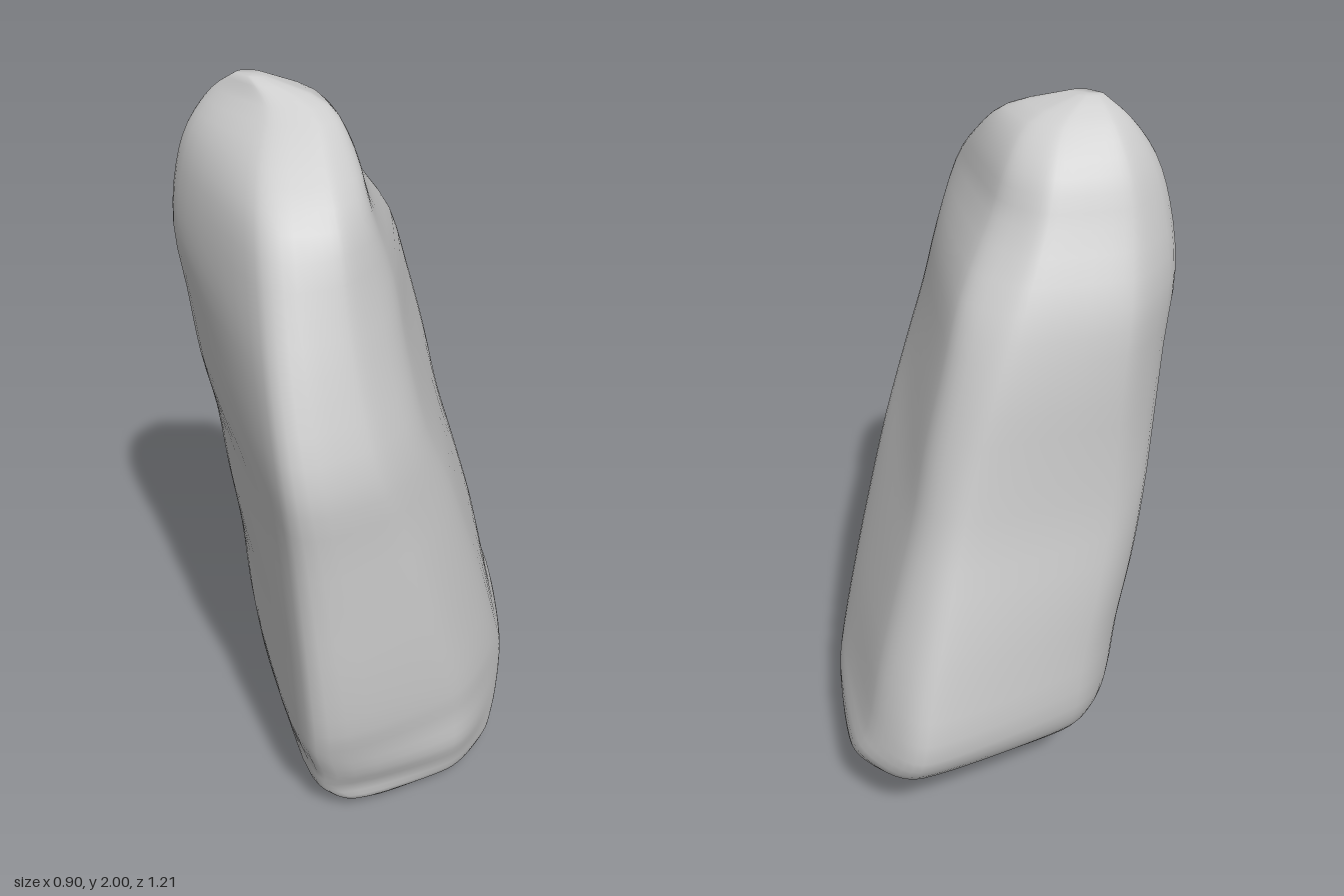
import * as THREE from 'three';

// Height, then x range and z range of the stone at that height
const LEVELS = [
  [0.0, 0.21, 0.33, -0.08, 0.1],
  [0.02, 0.13, 0.385, -0.14, 0.28],
  [0.06, 0.01, 0.435, -0.22, 0.4],
  [0.12, -0.15, 0.447, -0.31, 0.44],
  [0.2, -0.27, 0.45, -0.43, 0.47],
  [0.3, -0.325, 0.448, -0.565, 0.51],
  [0.4, -0.35, 0.442, -0.605, 0.535],
  [0.6, -0.37, 0.412, -0.57, 0.555],
  [0.8, -0.4, 0.378, -0.51, 0.565],
  [1.0, -0.42, 0.34, -0.445, 0.58],
  [1.2, -0.43, 0.295, -0.4, 0.6],
  [1.4, -0.44, 0.237, -0.355, 0.55],
  [1.58, -0.452, 0.19, -0.29, 0.48],
  [1.75, -0.425, 0.14, -0.185, 0.4],
  [1.86, -0.385, 0.075, -0.125, 0.28],
  [1.95, -0.32, -0.01, -0.03, 0.15],
  [2.0, -0.25, -0.17, 0.05, 0.1],
];

// Outline corners as fractions of the ranges: front ridge, right ridge,
// right side, two back corners, two left corners
const OUTLINES = [
  { y: 0.06, p: [[.32, 1], [.91, .62], [1, .36], [.9, .12], [.6, 0], [.06, .33], [0, .55]] },
  { y: 0.2, p: [[.53, 1], [.98, .68], [1, .38], [.85, .07], [.6, 0], [.05, .27], [0, .45]] },
  { y: 0.4, p: [[.59, 1], [.985, .7], [1, .46], [.75, .09], [.54, 0], [.05, .28], [0, .44]] },
  { y: 1.0, p: [[.68, 1], [.95, .78], [1, .55], [.72, .06], [.56, 0], [.07, .22], [0, .36]] },
  { y: 1.25, p: [[.72, 1], [.95, .82], [1, .62], [.74, .06], [.56, 0], [.09, .18], [0, .4]] },
  { y: 1.6, p: [[.7, 1], [.94, .85], [1, .6], [.76, .07], [.54, 0], [.13, .13], [0, .46]] },
  { y: 1.75, p: [[.67, 1], [.95, .85], [1, .64], [.72, .12], [.5, 0], [.13, .14], [0, .45]] },
  { y: 2.0, p: [[.58, 1], [.9, .85], [1, .6], [.75, .1], [.5, 0], [.1, .2], [0, .6]] },
];

const mix = THREE.MathUtils.lerp;

// Blend the outlines for a height
function outlineAt(y) {
  let k = 0;
  while (k < OUTLINES.length - 2 && y > OUTLINES[k + 1].y) k++;
  const a = OUTLINES[k], b = OUTLINES[k + 1];
  const t = THREE.MathUtils.clamp((y - a.y) / (b.y - a.y), 0, 1);
  return a.p.map((c, i) => [mix(c[0], b.p[i][0], t), mix(c[1], b.p[i][1], t)]);
}

// Cut the corners of a closed outline to round it
function roundOff(points, cut) {
  return points.flatMap((p, i) => {
    const q = points[(i + 1) % points.length];
    return [cut, 1 - cut].map((t) => [mix(p[0], q[0], t), mix(p[1], q[1], t)]);
  });
}

// One rounded ring that fills its ranges
function ring([y, x0, x1, z0, z1]) {
  const pts = [0.15, 0.25, 0.25].reduce(roundOff, outlineAt(y));
  const us = pts.map((p) => p[0]), vs = pts.map((p) => p[1]);
  const u0 = Math.min(...us), u1 = Math.max(...us);
  const v0 = Math.min(...vs), v1 = Math.max(...vs);
  return pts.map(([u, v]) => new THREE.Vector3(
    mix(x0, x1, (u - u0) / (u1 - u0)), y, mix(z0, z1, (v - v0) / (v1 - v0))));
}

function stoneGeometry() {
  const rings = LEVELS.map(ring);
  const n = rings[0].length, rows = (LEVELS.length - 1) * 3;
  // Smooth columns running up through the rings
  const columns = rings[0].map((_, j) => new THREE.CatmullRomCurve3(rings.map((r) => r[j])));
  const pos = [], index = [];
  for (let i = 0; i <= rows; i++) {
    for (const c of columns) {
      const p = c.getPoint(i / rows);
      pos.push(p.x, THREE.MathUtils.clamp(p.y, 0, 2), p.z);
    }
  }
  for (let i = 0; i < rows; i++) {
    for (let j = 0; j < n; j++) {
      const a = i * n + j, b = i * n + (j + 1) % n;
      index.push(a, b, a + n, b, b + n, a + n);
    }
  }
  // Close the bottom and the top
  [[0, true], [rows, false]].forEach(([row, bottom]) => {
    const c = new THREE.Vector3();
    for (let j = 0; j < n; j++) c.add(new THREE.Vector3().fromArray(pos, (row * n + j) * 3));
    c.divideScalar(n);
    const centre = pos.length / 3;
    pos.push(c.x, c.y, c.z);
    for (let j = 0; j < n; j++) {
      const a = row * n + j, b = row * n + (j + 1) % n;
      if (bottom) index.push(centre, b, a);
      else index.push(centre, a, b);
    }
  });
  const g = new THREE.BufferGeometry();
  g.setAttribute('position', new THREE.Float32BufferAttribute(pos, 3));
  g.setIndex(index);
  g.computeVertexNormals();
  return g;
}

export function createModel() {
  const group = new THREE.Group();
  group.name = 'standingStone';
  const stone = new THREE.Mesh(stoneGeometry(), new THREE.MeshStandardMaterial({ color: 0xcccccc }));
  stone.name = 'stone';
  group.add(stone);
  return group;
}
